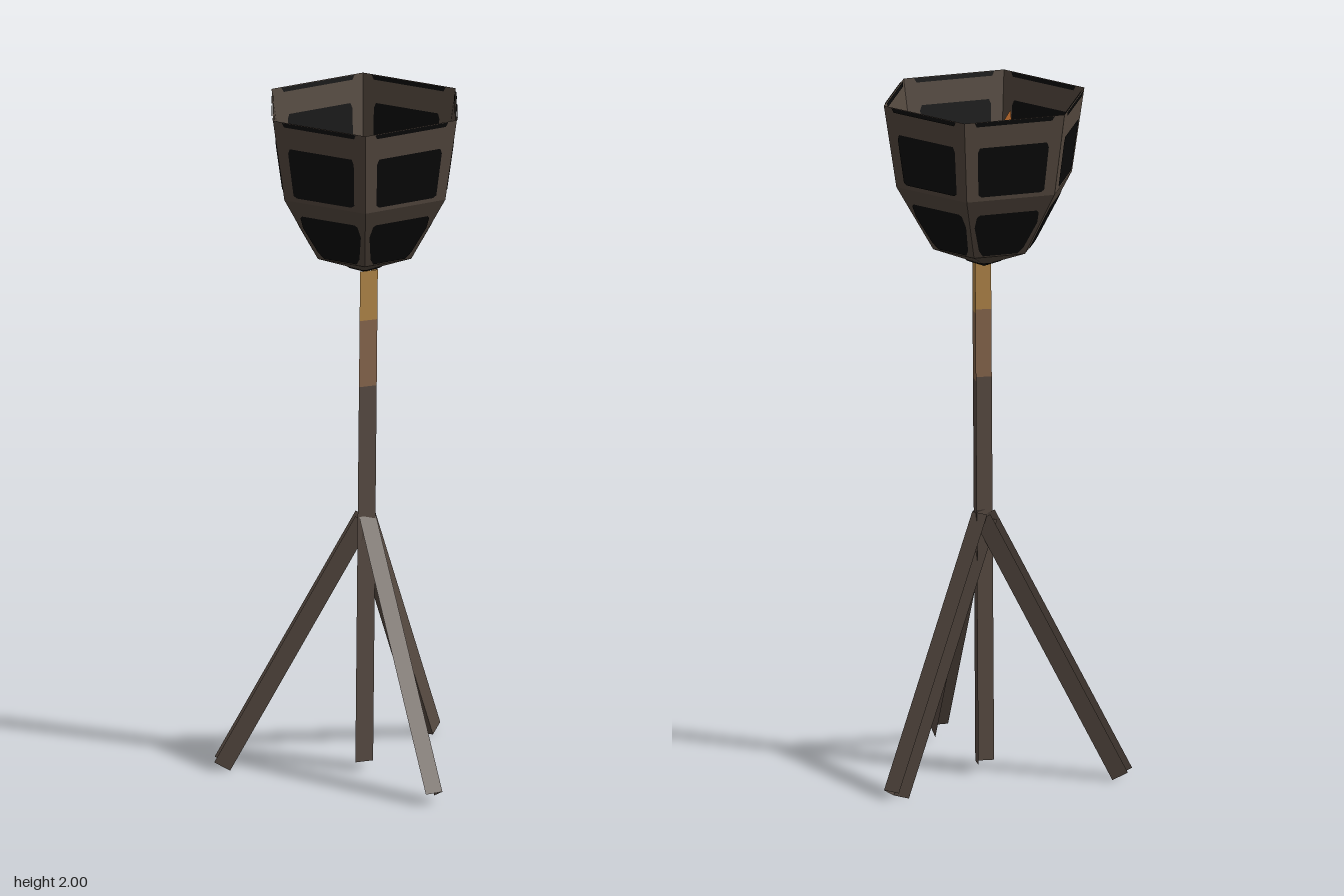
import * as THREE from 'three';

const mat = (name, color) => {
  const m = new THREE.MeshStandardMaterial({ color, side: THREE.DoubleSide });
  m.name = name;
  return m;
};

export function createModel() {
  const model = new THREE.Group();
  const iron = mat('darkIron', 0x5b4e45);
  const bowlIron = mat('bowlIron', 0x564a40);
  const black = mat('black', 0x090909);
  const copper = mat('copper', 0x8c6a50);
  const brass = mat('brass', 0xb78a4b);
  const ember = new THREE.MeshStandardMaterial({ color: 0xb0642a });
  ember.name = 'ember';

  const add = (parent, name, geometry, material) => {
    const m = new THREE.Mesh(geometry, material);
    m.name = name;
    parent.add(m);
    return m;
  };

  // Open channel of flat plates between two points; sides are in the bar's own frame
  const W = 0.055, D = 0.052;
  const channel = (name, foot, top, azimuth, sides, material) => {
    const bar = new THREE.Group();
    bar.name = name;
    const y = top.clone().sub(foot);
    const length = y.length();
    y.normalize();
    const t = new THREE.Vector3(Math.cos(azimuth), 0, -Math.sin(azimuth));
    const z = t.clone().cross(y).normalize();
    const x = y.clone().cross(z);
    bar.quaternion.setFromRotationMatrix(new THREE.Matrix4().makeBasis(x, y, z));
    bar.position.copy(foot).add(top).multiplyScalar(0.5);
    for (const side of sides) {
      const sign = side[0] === '+' ? 1 : -1;
      const alongX = side[1] === 'x';
      const g = new THREE.PlaneGeometry(alongX ? D : W, length);
      if (alongX) g.rotateY(sign * Math.PI / 2).translate(sign * W / 2, 0, 0);
      else g.rotateY(sign > 0 ? 0 : Math.PI).translate(0, 0, sign * D / 2);
      add(bar, name + 'Plate', g, material);
    }
    model.add(bar);
  };

  // Slightly leaning pole in three coloured lengths
  const polePoint = (y) => new THREE.Vector3(0, y, -0.085 + 0.018 * y);
  [['poleShaft', 0.025, 1.16, iron], ['poleCollar', 1.16, 1.36, copper], ['poleTop', 1.36, 1.51, brass]]
    .forEach(([name, a, b, m]) => channel(name, polePoint(a), polePoint(b), -0.15, ['+z', '+x'], m));

  // Three splayed legs
  const deg = Math.PI / 180;
  [['frontLeg', 0, 0.375, 0.021, ['+z', '+x']],
    ['leftLeg', 122 * deg, 0.405, 0.011, ['+z', '-z', '-x']],
    ['rightLeg', -122 * deg, 0.405, 0.011, ['-z', '+x', '-x']]]
    .forEach(([name, a, reach, y, sides]) => {
      const top = new THREE.Vector3(0, 0.755, -0.07);
      const foot = new THREE.Vector3(Math.sin(a) * reach, y, -0.07 + Math.cos(a) * reach);
      channel(name, foot, top, a, sides, iron);
    });

  // Hexagonal fire bowl
  const bowl = new THREE.Group();
  bowl.name = 'bowl';
  bowl.position.z = -0.065;
  model.add(bowl);
  const rings = [[1.5, 0.001], [1.56, 0.155], [1.755, 0.267], [2, 0.305]];
  for (let i = 0; i < 3; i++) {
    const [y0, r0] = rings[i], [y1, r1] = rings[i + 1];
    const g = new THREE.CylinderGeometry(r1, r0, y1 - y0, 6, 1, true, Math.PI / 6)
      .translate(0, (y0 + y1) / 2, 0).toNonIndexed();
    g.computeVertexNormals();
    add(bowl, ['bowlBase', 'bowlLowerWall', 'bowlUpperWall'][i], g, bowlIron);
  }

  // Distance from the axis to the middle of a wall at height y
  const wallAt = (y) => {
    const i = y < 1.755 ? 1 : 2;
    const [y0, r0] = rings[i], [y1, r1] = rings[i + 1];
    return (r0 + (r1 - r0) * (y - y0) / (y1 - y0)) * Math.cos(Math.PI / 6);
  };

  // Black panels on both sides of each wall; outlines are right halves, mirrored
  const outlines = {
    upperPanel: [[0.09, 1.768], [0.1, 1.775], [0.108, 1.905], [0.102, 1.92]],
    lowerPanel: [[0.053, 1.565], [0.068, 1.585], [0.095, 1.665], [0.094, 1.7], [0.086, 1.707]],
    rimPanel: [[0.115, 1.986], [0.122, 1.999]],
  };
  for (const [name, half] of Object.entries(outlines)) {
    const pts = [...half, ...half.map(([x, y]) => [-x, y]).reverse()];
    const shape = new THREE.Shape(pts.map(([x, y]) => new THREE.Vector2(x, y)));
    for (const offset of [0.003, -0.003]) {
      const g = new THREE.ShapeGeometry(shape);
      const p = g.attributes.position;
      for (let i = 0; i < p.count; i++) p.setZ(i, wallAt(p.getY(i)) + offset);
      g.computeVertexNormals();
      for (let k = 0; k < 6; k++) add(bowl, name, g, black).rotation.y = k * Math.PI / 3;
    }
  }

  // Black centre of the base, inside and out
  for (const offset of [0.005, -0.003]) {
    add(bowl, 'baseCentre', new THREE.CylinderGeometry(0.055, 0.001, 0.022, 18, 1, true)
      .translate(0, 1.511 + offset, 0), black);
  }

  // Small ember flake inside the bowl
  const flake = new THREE.Shape([[-0.03, -0.02], [0.03, -0.015], [0.025, 0.02]]
    .map(([x, y]) => new THREE.Vector2(x, y)));
  const flakeMesh = add(bowl, 'emberFlake', new THREE.ShapeGeometry(flake), ember);
  flakeMesh.position.set(-0.09, 1.91, 0.07);
  flakeMesh.rotation.y = Math.PI + 0.64;

  return model;
}
